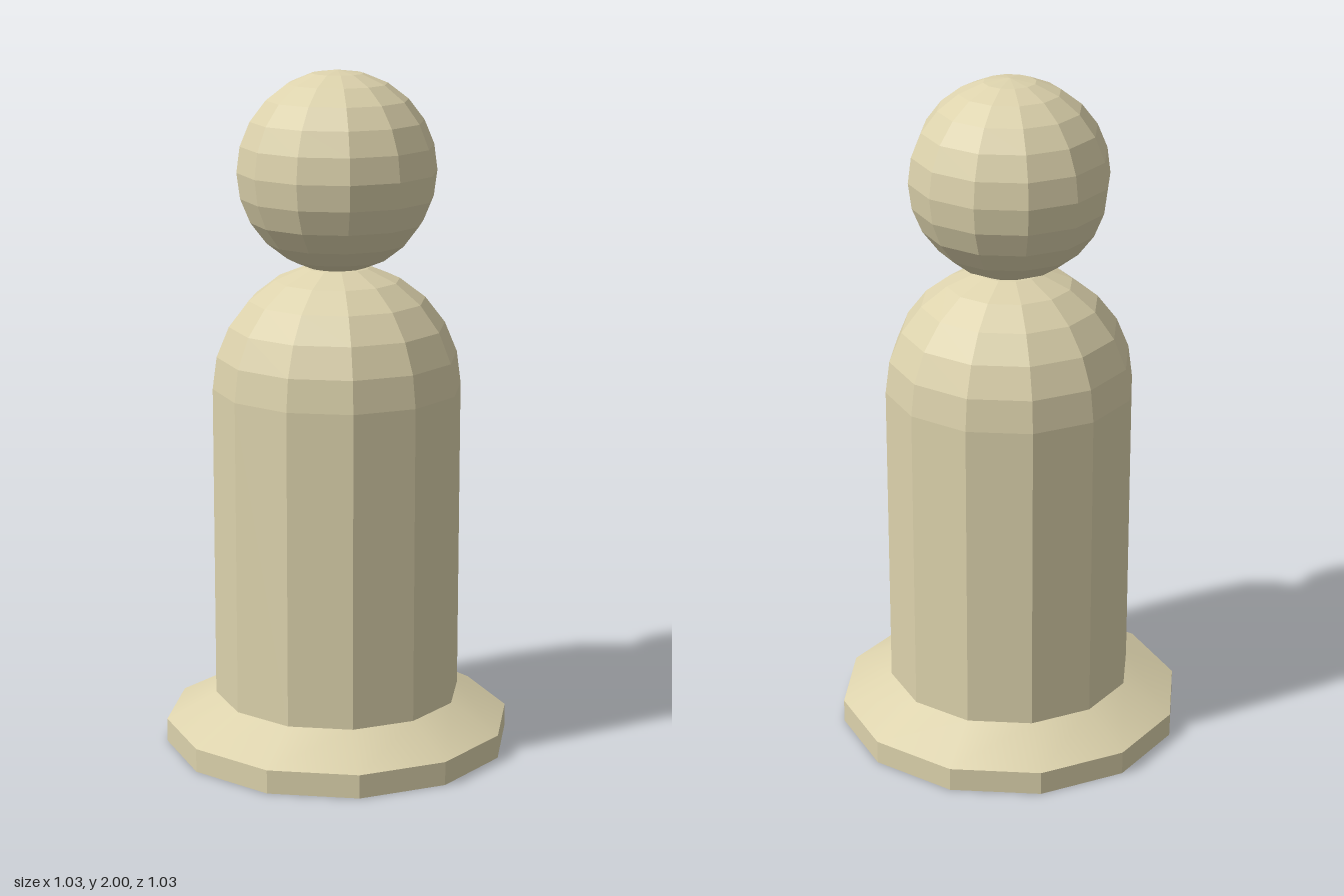
import * as THREE from 'three';

const SIDES = 12;
const BODY_R = 0.365, BASE_R = 0.513, HEAD_R = 0.29;
const BASE_H = 0.07, BODY_Y = 0.15, SHOULDER_Y = 1.08;

export function createModel() {
  const group = new THREE.Group();
  const flat = new THREE.MeshStandardMaterial({ color: 0xdcd2ac, flatShading: true });
  const smooth = new THREE.MeshStandardMaterial({ color: 0xdcd2ac });

  const add = (name, geometry, material, y = 0) => {
    const mesh = new THREE.Mesh(geometry, material);
    mesh.name = name;
    mesh.position.y = y;
    group.add(mesh);
  };

  // Flat disc with a softly shaded bevel leading up to the body
  add('base', new THREE.CylinderGeometry(BASE_R, BASE_R, BASE_H, SIDES), flat, BASE_H / 2);
  add('baseBevel', new THREE.CylinderGeometry(BODY_R, BASE_R, BODY_Y - BASE_H, SIDES, 1, true),
    smooth, (BODY_Y + BASE_H) / 2);

  // Straight column closing in a faceted dome
  const profile = [new THREE.Vector2(BODY_R, BODY_Y)];
  for (let i = 0; i <= 6; i++) {
    const a = (i / 6) * Math.PI / 2;
    profile.push(new THREE.Vector2(i === 6 ? 0 : BODY_R * Math.cos(a), SHOULDER_Y + BODY_R * Math.sin(a)));
  }
  add('body', new THREE.LatheGeometry(profile, SIDES), flat);

  // Faceted ball head
  add('head', new THREE.SphereGeometry(HEAD_R, SIDES, 12), flat, 2 - HEAD_R);

  return group;
}
